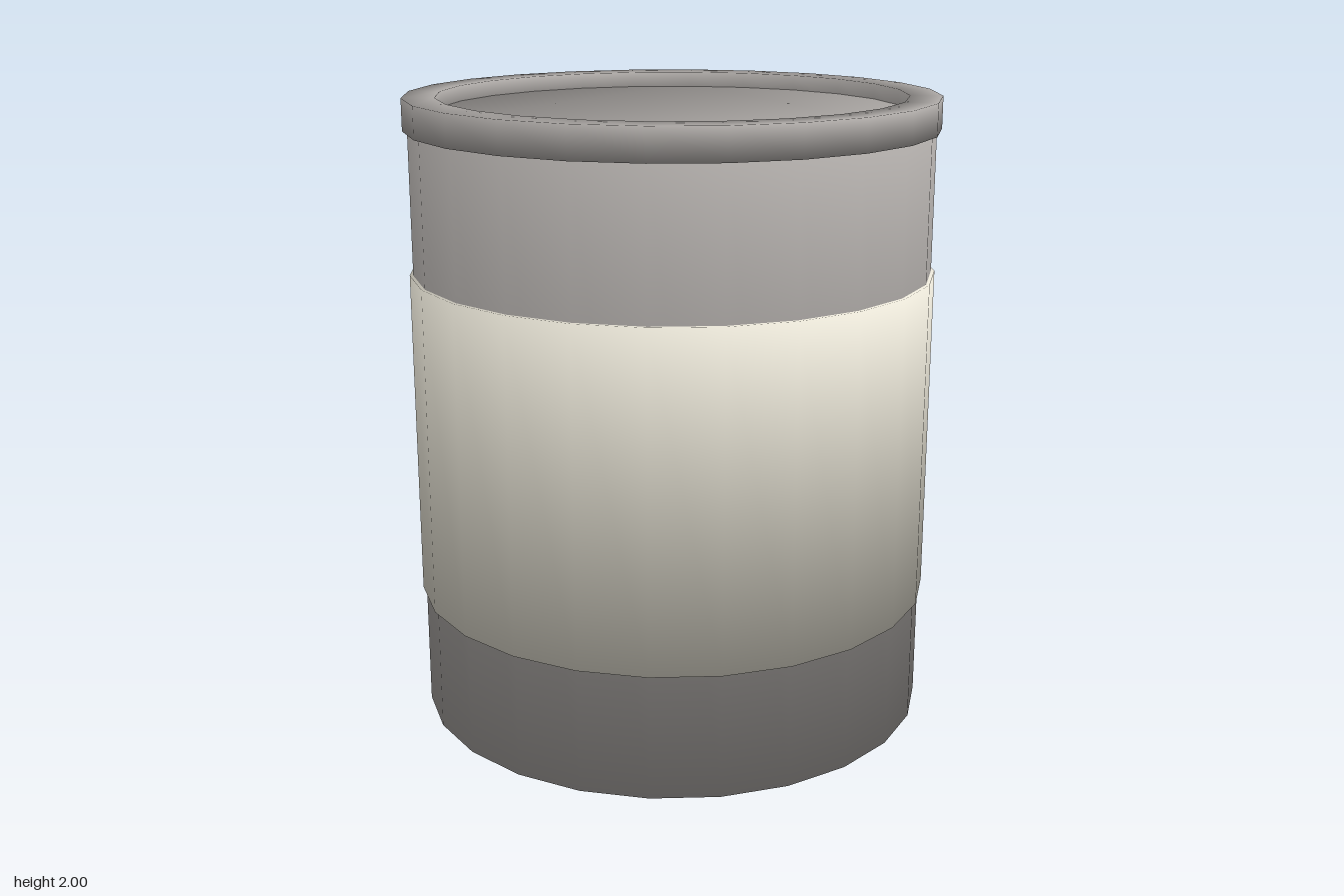
import * as THREE from 'three';

const SIDES = 24;

// Replace normals with softly rounded ones: every corner leans 45 degrees out of its section.
function softenNormals(geometry, centreRadius, centreY, outerRadius) {
  const pos = geometry.attributes.position;
  const nor = geometry.attributes.normal;
  const n = new THREE.Vector3();
  for (let i = 0; i < pos.count; i++) {
    const x = pos.getX(i), z = pos.getZ(i);
    const r = Math.hypot(x, z);
    const out = r > centreRadius ? 1 : -1;
    n.set(out * x / r, pos.getY(i) > centreY ? 1 : -1, out * z / r).normalize();
    nor.setXYZ(i, n.x, n.y, n.z);
  }
  return geometry;
}

// Closed drum with single-polygon caps
function drum(radius, y0, y1) {
  const corners = [];
  for (let i = 0; i < SIDES; i++) {
    const a = (i / SIDES) * Math.PI * 2;
    corners.push(new THREE.Vector2(Math.cos(a) * radius, Math.sin(a) * radius));
  }
  const geometry = new THREE.ExtrudeGeometry(new THREE.Shape(corners), {
    depth: y1 - y0, bevelEnabled: false, steps: 1,
  });
  geometry.rotateX(-Math.PI / 2).translate(0, y0, 0);
  return softenNormals(geometry, 0, (y0 + y1) / 2);
}

// Ring with a square section
function squareRing(inner, outer, y0, y1) {
  const section = [[inner, y0], [outer, y0], [outer, y1], [inner, y1], [inner, y0]]
    .map(([r, y]) => new THREE.Vector2(r, y));
  const geometry = new THREE.LatheGeometry(section, SIDES);
  return softenNormals(geometry, (inner + outer) / 2, (y0 + y1) / 2);
}

export function createModel() {
  const group = new THREE.Group();
  group.name = 'can';
  const metal = new THREE.MeshStandardMaterial({ color: 0xaba7a4 });
  const paper = new THREE.MeshStandardMaterial({ color: 0xe8e4d6 });

  const add = (name, geometry, material) => {
    const mesh = new THREE.Mesh(geometry, material);
    mesh.name = name;
    group.add(mesh);
  };

  add('body', drum(0.825, 0, 1.95), metal);
  add('labelBand', drum(0.836, 0.4, 1.45), paper);
  add('topRim', squareRing(0.738, 0.84, 1.9, 2), metal);
  return group;
}
